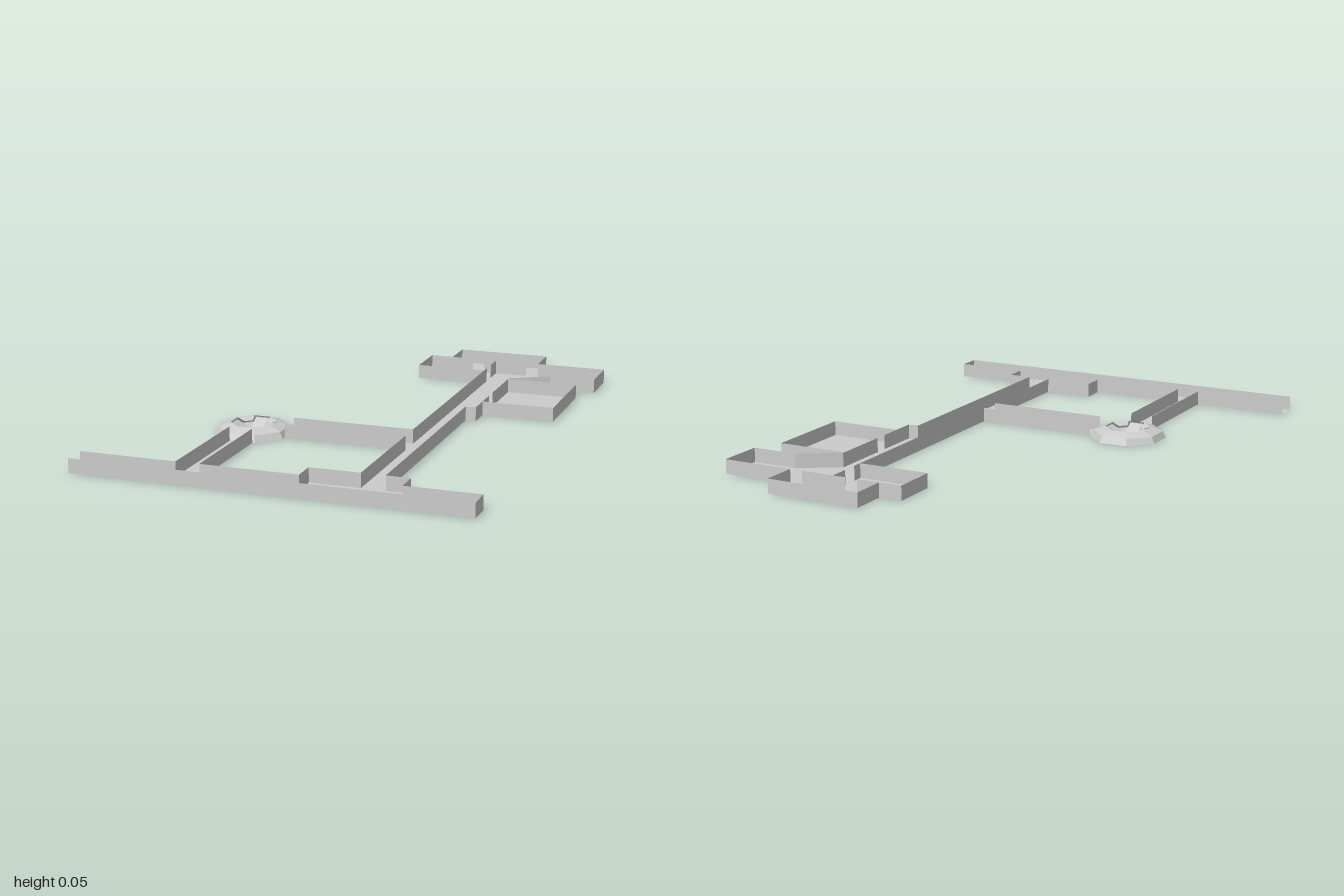
import * as THREE from 'three';

const H = 0.055; // wall height
const material = new THREE.MeshStandardMaterial({ color: 0xcccccc, side: THREE.DoubleSide, flatShading: true });

// Plan points are [x, z]
const outer = [
  [-0.74, 1], [0.74, 1], [0.74, 0.91], [0.46, 0.91], [0.46, 0.82], [0.37, 0.82], [0.37, -0.12], [0.41, -0.12],
  [0.41, -0.59], [0.56, -0.68], [0.74, -0.68], [0.74, -0.86], [0.46, -0.86], [0.46, -1], [0.09, -1],
  [0.09, -0.86], [0, -0.86], [0, -0.68], [0.28, -0.68], [0.28, 0.25], [-0.19, 0.25],
];
const chamber = [[-0.28, 0.16], [-0.37, 0.16], [-0.47, 0.25], [-0.47, 0.34], [-0.37, 0.44]];
const tail = [[-0.37, 0.44], [-0.37, 0.91], [-0.74, 0.91]];
const court = [[-0.19, 0.34], [0.28, 0.34], [0.28, 0.82], [0.09, 0.82], [0.09, 0.91], [-0.28, 0.91], [-0.28, 0.44]];
const sideRoom = [[0.41, -0.58], [0.69, -0.58], [0.69, -0.21], [0.41, -0.21]];

const toVectors = (points) => points.map(([x, z]) => new THREE.Vector2(x, z));

function addMesh(group, name, geometry) {
  const mesh = new THREE.Mesh(geometry, material);
  mesh.name = name;
  group.add(mesh);
}

function floorGeometry(points, hole) {
  const shape = new THREE.Shape(toVectors(points));
  if (hole) shape.holes.push(new THREE.Path(toVectors(hole)));
  return new THREE.ShapeGeometry(shape).rotateX(Math.PI / 2);
}

// Strip of quads between two rows of [x, y, z] points
function strip(a, b) {
  const positions = [];
  for (let i = 0; i < a.length - 1; i++) {
    positions.push(...a[i], ...b[i], ...b[i + 1], ...a[i], ...b[i + 1], ...a[i + 1]);
  }
  const geometry = new THREE.BufferGeometry();
  geometry.setAttribute('position', new THREE.Float32BufferAttribute(positions, 3));
  geometry.computeVertexNormals();
  return geometry;
}

const wall = (points) => strip(points.map(([x, z]) => [x, 0, z]), points.map(([x, z]) => [x, H, z]));

export function createModel() {
  const model = new THREE.Group();
  model.name = 'corridorPlan';

  // Floors
  addMesh(model, 'mainFloor', floorGeometry([...outer, ...chamber, ...tail.slice(1)], court));
  addMesh(model, 'sideRoomFloor', floorGeometry(sideRoom));

  // Outer walls, with a doorway into the side room
  const walls = {
    frontAndCorridorWall: [...outer.slice(0, 8), [0.41, -0.3]],
    backRoomWall: [[0.41, -0.35], ...outer.slice(8)],
    leftCorridorWall: tail,
    courtWall: court,
    sideRoomWall: sideRoom,
    // Partitions with doorways
    backPartitionLeft: [[0.09, -0.86], [0.18, -0.86]],
    backPartitionMiddle: [[0.23, -0.86], [0.41, -0.86]],
    roomPartitionBack: [[0.28, -0.86], [0.28, -0.78]],
    roomPartitionFront: [[0.28, -0.72], [0.28, -0.68]],
  };
  for (const [name, points] of Object.entries(walls)) addMesh(model, name, wall(points));

  // Octagonal chamber: shallow cover around a sunken cross
  const [cx, cz] = [-0.33, 0.3];
  const ring = (radius, y) => Array.from({ length: 9 }, (_, i) => {
    const angle = (i + 0.5) * Math.PI / 4;
    return [cx + radius * Math.cos(angle), y, cz + radius * Math.sin(angle)];
  });
  addMesh(model, 'chamberRim', strip(ring(0.148, 0), ring(0.135, 0.025)));
  addMesh(model, 'chamberCover', strip(ring(0.135, 0.025), ring(0.088, 0.04)));

  // Four sloping arms and the webs between them
  for (let i = 0; i < 4; i++) {
    const angle = i * Math.PI / 2;
    const at = (r, side, y) => [
      cx + r * Math.cos(angle) - side * Math.sin(angle), y,
      cz + r * Math.sin(angle) + side * Math.cos(angle),
    ];
    addMesh(model, 'crossArm', strip([at(0.08, -0.025, 0.035), at(0.08, 0.025, 0.035)],
      [at(0.03, -0.025, 0.01), at(0.03, 0.025, 0.01)]));
    addMesh(model, 'crossWeb', strip([at(0.081, 0.034, 0.04), at(0.034, 0.081, 0.04)],
      [at(0.05, 0.025, 0.03), at(0.025, 0.05, 0.03)]));
  }
  return model;
}
